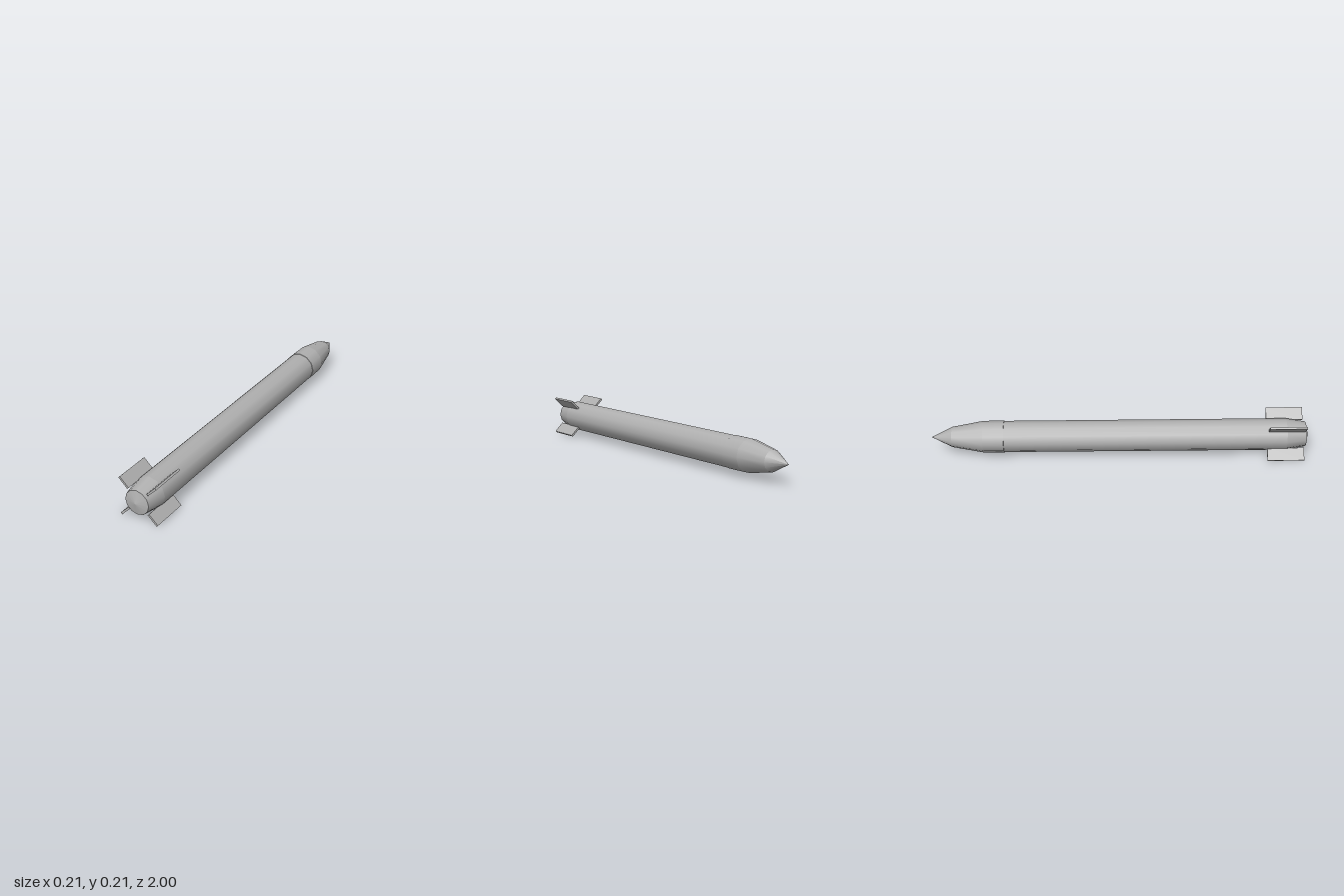
import * as THREE from 'three';

const AXIS_Y = 0.106;
const SIDES = 12;

export function createModel() {
  const model = new THREE.Group();
  model.name = 'rocket';
  const grey = new THREE.MeshStandardMaterial({ color: 0xb0b0b0 });
  grey.name = 'grey metal';

  // One ring-shaped stretch of hull between two stations along z
  function section(name, zBack, rBack, zFront, rFront) {
    const length = zFront - zBack;
    const geometry = new THREE.CylinderGeometry(rFront, rBack, length, SIDES, 1, true);
    geometry.rotateX(Math.PI / 2);
    const mesh = new THREE.Mesh(geometry, grey);
    mesh.name = name;
    mesh.position.set(0, AXIS_Y, zBack + length / 2);
    model.add(mesh);
  }

  // Nose, pointing to -z, with a collar that sleeves over the body
  section('noseTip', -1, 0, -0.89, 0.054);
  section('noseCone', -0.89, 0.054, -0.725, 0.084);
  section('noseCollar', -0.725, 0.084, -0.615, 0.085);
  section('collarLip', -0.615, 0.085, -0.613, 0.081);

  // Body and tapered tail
  section('body', -0.66, 0.083, 0.88, 0.084);
  section('tailTaper', 0.88, 0.084, 0.985, 0.066);
  section('tailCap', 0.985, 0.066, 1, 0);

  // Four diagonal fins
  const inner = 0.077, outer = 0.1445;
  const finGeometry = new THREE.BoxGeometry(outer - inner, 0.011, 0.195);
  finGeometry.translate((inner + outer) / 2, 0, 0);
  for (let i = 0; i < 4; i++) {
    const fin = new THREE.Mesh(finGeometry, grey);
    fin.name = `fin${i + 1}`;
    fin.position.set(0, AXIS_Y, 0.878);
    fin.rotation.z = Math.PI / 4 + (i * Math.PI) / 2;
    model.add(fin);
  }

  return model;
}
